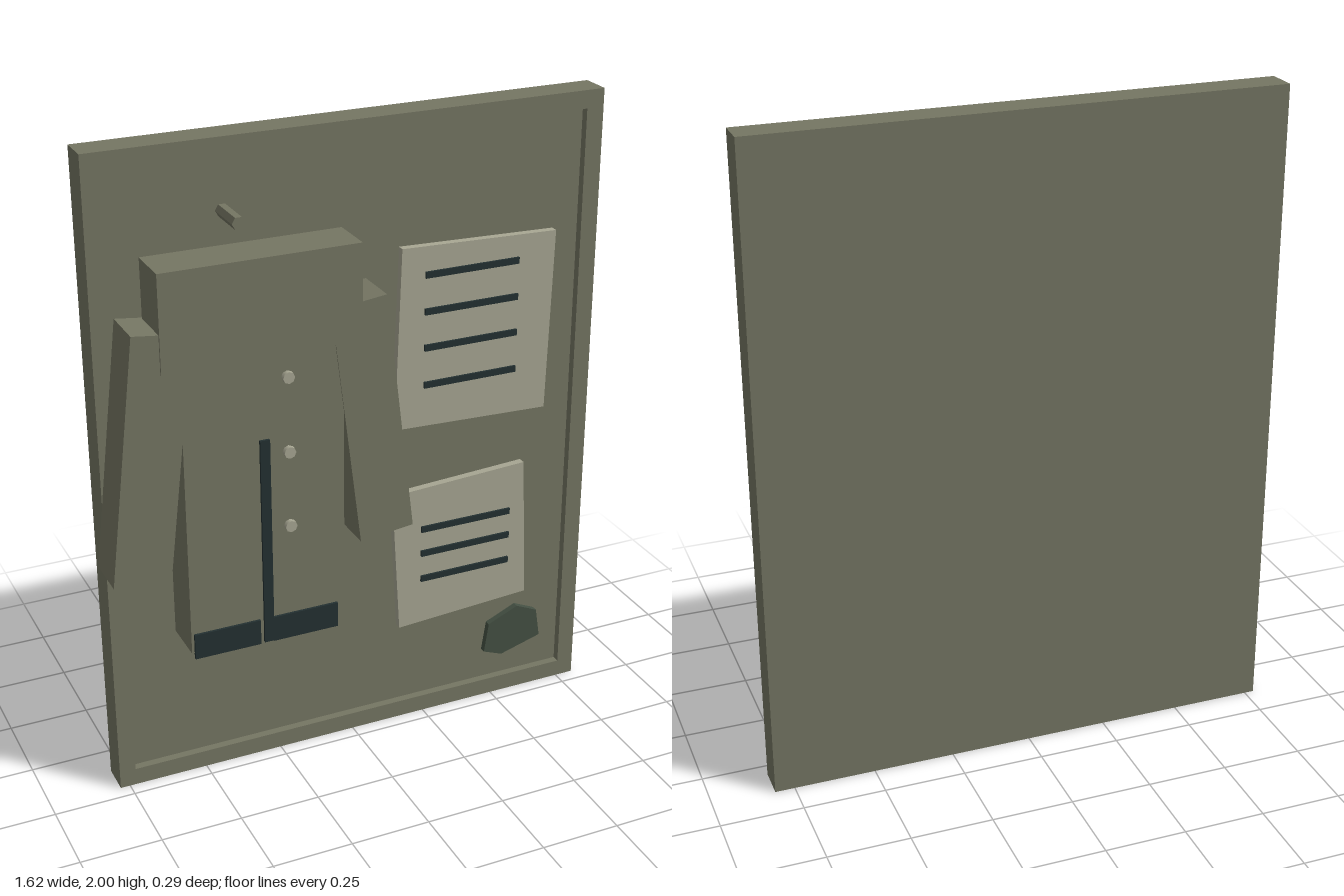
import * as THREE from 'three';

const paint = (name, color) => {
  const m = new THREE.MeshStandardMaterial({ color });
  m.name = name;
  return m;
};

export function createModel() {
  const model = new THREE.Group();
  model.name = 'coatBoard';
  const olive = paint('dull olive', 0x757663);
  const cream = paint('faded paper', 0xa8a793);
  const ink = paint('dark ink', 0x233031);
  const green = paint('dark green', 0x445043);

  const add = (name, geometry, material, parent = model) => {
    const mesh = new THREE.Mesh(geometry, material);
    mesh.name = name;
    parent.add(mesh);
    return mesh;
  };
  // Box given by its limits on each axis
  const box = (name, [x0, x1], [y0, y1], [z0, z1], material, parent) => {
    const mesh = add(name, new THREE.BoxGeometry(x1 - x0, y1 - y0, z1 - z0), material, parent);
    mesh.position.set((x0 + x1) / 2, (y0 + y1) / 2, (z0 + z1) / 2);
    return mesh;
  };
  const outline = (points) => points.map(([x, y]) => new THREE.Vector2(x, y));
  // Flat polygon pulled forward from z0 to z1
  const plate = (name, points, z0, z1, material, hole) => {
    const shape = new THREE.Shape(outline(points));
    if (hole) shape.holes.push(new THREE.Path(outline(hole)));
    const geometry = new THREE.ExtrudeGeometry(shape, { depth: z1 - z0, bevelEnabled: false });
    add(name, geometry, material).position.z = z0;
  };
  const rect = (x0, x1, y0, y1) => [[x0, y0], [x1, y0], [x1, y1], [x0, y1]];

  // Backing board with a raised rim
  const floor = -0.07, rim = -0.045;
  box('backPanel', [-0.78, 0.81], [0, 2], [-0.143, floor], olive);
  plate('rim', rect(-0.78, 0.81, 0, 2), floor, rim, olive, rect(-0.73, 0.755, 0.055, 1.945));

  // Hanging peg
  const peg = add('peg', new THREE.CylinderGeometry(0.02, 0.02, 0.127, 6).toNonIndexed(), olive);
  peg.geometry.computeVertexNormals();
  peg.rotation.set(Math.PI / 2, Math.PI / 6, 0);
  peg.position.set(-0.38, 1.786, -0.0065);

  // Coat
  const coat = new THREE.Group();
  coat.name = 'coat';
  model.add(coat);
  const mid = -0.3475;
  box('coatBody', [-0.59, -0.105], [0.53, 1.45], [-0.014, 0.128], olive, coat);
  box('coatYoke', [-0.645, -0.05], [1.42, 1.71], [-0.005, 0.137], olive, coat);
  for (const side of [-1, 1]) {
    const sleeve = add(side < 0 ? 'rightSleeve' : 'leftSleeve',
      new THREE.BoxGeometry(0.171, 0.75, 0.142), olive, coat);
    sleeve.position.set(mid + side * 0.335, 1.162, 0.06);
    sleeve.rotation.z = side * 0.12;
  }

  // Front opening, hem bands and buttons
  box('frontOpening', [-0.365, -0.335], [0.515, 1.17], [0.127, 0.136], ink, coat);
  box('rightHemBand', [-0.582, -0.377], [0.513, 0.593], [0.127, 0.136], ink, coat);
  box('leftHemBand', [-0.335, -0.13], [0.513, 0.593], [0.127, 0.136], ink, coat);
  for (const y of [1.35, 1.12, 0.885]) {
    const button = add('button', new THREE.CylinderGeometry(0.018, 0.018, 0.017, 8), cream, coat);
    button.rotation.x = Math.PI / 2;
    button.position.set(-0.277, y, 0.1345);
  }

  // Pinned notes with ruled lines
  plate('upperNote', [[0.14, 1.027], [0.655, 1.01], [0.67, 1.585], [0.16, 1.6]], floor, -0.046, cream);
  plate('lowerNote', [[0.163, 0.332], [0.615, 0.36], [0.592, 0.83], [0.135, 0.805]], floor, -0.046, cream);
  for (const y of [1.51, 1.395, 1.28, 1.16, 0.67, 0.585, 0.495])
    box('noteLine', [0.235, 0.545], [y - 0.01, y + 0.01], [-0.047, -0.039], ink);

  // Irregular green patch
  plate('patch', [[0.475, 0.16], [0.54, 0.135], [0.68, 0.175], [0.665, 0.272], [0.592, 0.305], [0.49, 0.26]],
    floor, -0.05, green);

  return model;
}
